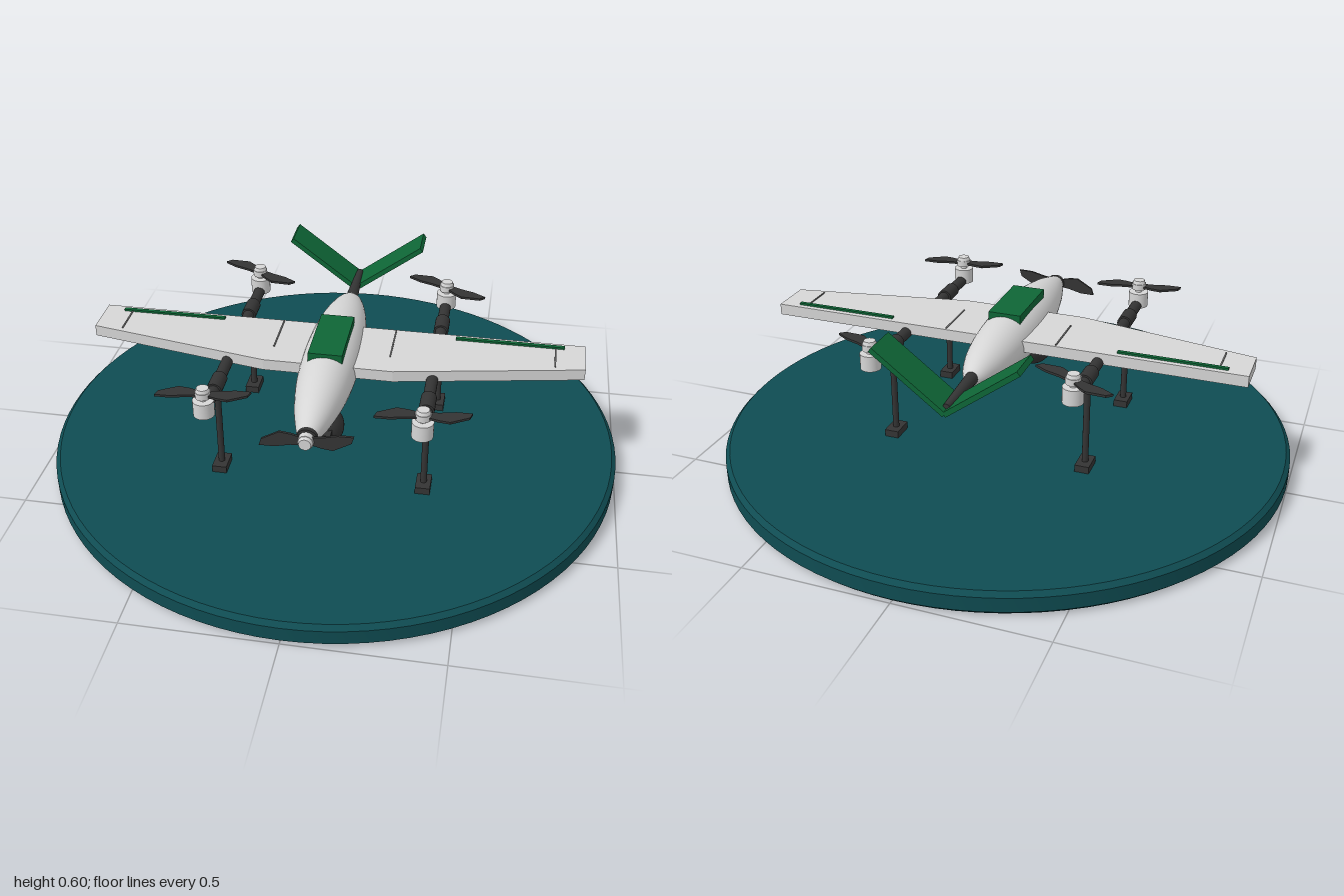
import * as THREE from 'three';
import { toCreasedNormals } from 'three/addons/utils/BufferGeometryUtils.js';

const mat = (name, color) => new THREE.MeshStandardMaterial({ name, color });
const V = (x, y) => new THREE.Vector2(x, y);

export function createModel() {
  const model = new THREE.Group();
  const shell = mat('shell grey', 0xd6d6d6);
  const dark = mat('carbon', 0x343434);
  const green = mat('green', 0x0e6636);
  const teal = mat('teal base', 0x0f4c52);
  const seam = mat('seam grey', 0x6e6e6e);
  const glass = mat('lens glass', 0x2a6478);

  const add = (name, geo, material, x = 0, y = 0, z = 0, parent = model) => {
    const m = new THREE.Mesh(geo, material);
    m.name = name;
    m.position.set(x, y, z);
    parent.add(m);
    return m;
  };
  const cyl = (rTop, rBottom, h, n = 20) => new THREE.CylinderGeometry(rTop, rBottom, h, n);
  const cylZ = (rFront, rBack, h, n = 20) => cyl(rFront, rBack, h, n).rotateX(Math.PI / 2);
  const box = (w, h, d) => new THREE.BoxGeometry(w, h, d);
  // Horizontal plate from [x, z] corners, rising from y = 0
  const plate = (pts, h) => new THREE.ExtrudeGeometry(
    new THREE.Shape(pts.map(([x, z]) => V(x, -z))), { depth: h, bevelEnabled: false }).rotateX(-Math.PI / 2);

  // Round display base with chamfered rims
  const rim = [V(0, 0), V(0.985, 0), V(1, 0.015), V(1, 0.065), V(0.985, 0.08), V(0, 0.08)];
  add('base', toCreasedNormals(new THREE.LatheGeometry(rim, 96), 0.4), teal);

  // Streamlined body along z
  const hull = new THREE.SplineCurve([
    V(0.018, -0.35), V(0.045, -0.31), V(0.072, -0.22), V(0.09, -0.1), V(0.098, 0.04), V(0.097, 0.16),
    V(0.088, 0.28), V(0.068, 0.4), V(0.048, 0.48), V(0.032, 0.53)]).getPoints(36);
  hull.unshift(V(0, -0.352));
  hull.push(V(0, 0.531));
  add('fuselage', new THREE.LatheGeometry(hull, 40).rotateX(Math.PI / 2), shell, 0, 0.418, 0);
  add('topHatch', box(0.115, 0.035, 0.255), green, 0, 0.507, 0.09);

  // Wing with swept leading edge
  add('wing', plate([[-0.85, -0.088], [-0.85, 0.06], [-0.22, 0.178], [0.22, 0.178], [0.85, 0.06], [0.85, -0.088]], 0.04),
    shell, 0, 0.416, 0);
  for (const s of [-1, 1]) {
    add('innerWingSeam', box(0.005, 0.004, 0.17), seam, s * 0.2, 0.457, 0.005);
    add('outerWingSeam', box(0.005, 0.004, 0.12), seam, s * 0.75, 0.457, 0);
    add('aileronStrip', box(0.37, 0.008, 0.014), green, s * 0.595, 0.459, -0.062);
  }

  // Tail boom and V tail
  add('tailBoom', cylZ(0.023, 0.012, 0.22), dark, 0, 0.422, -0.443);
  const tilt = 0.645;
  for (const s of [-1, 1]) {
    const fin = add('tailFin', box(0.305, 0.018, 0.125), green,
      s * 0.152 * Math.cos(tilt), 0.405 + 0.152 * Math.sin(tilt), -0.511);
    fin.rotation.z = s * tilt;
  }

  // Two-blade propeller with its hub, spinning about local y
  const blade = plate([[0.012, -0.015], [0.05, -0.019], [0.1, -0.031], [0.15, -0.032],
    [0.143, -0.008], [0.085, 0.026], [0.05, 0.022], [0.012, 0.012]], 0.008);
  const propeller = (name, turn) => {
    const g = new THREE.Group();
    g.name = name;
    for (const a of [0, Math.PI]) add('blade', blade, dark, 0, -0.004, 0, g).rotation.y = a;
    add('hub', cyl(0.026, 0.026, 0.022, 12), shell, 0, 0.001, 0, g);
    add('hubCap', cyl(0.02, 0.024, 0.012, 12), shell, 0, 0.018, 0, g);
    g.rotation.y = turn;
    model.add(g);
    return g;
  };

  // Side booms, lift motors and landing legs
  for (const s of [-1, 1]) {
    const x = s * 0.35;
    add('sideBoom', cylZ(0.02, 0.02, 0.83), dark, x, 0.42, 0.045);
    for (const z of [0.455, -0.365]) {
      add('liftMotor', cyl(0.035, 0.035, 0.055, 24), shell, x, 0.439, z);
      add('motorShaft', cyl(0.012, 0.012, 0.02, 12), shell, x, 0.473, z);
      propeller('liftPropeller', z > 0 ? 0 : -0.58).position.set(x, 0.488, z);
    }
    for (const z of [0.295, -0.2]) {
      add('legClamp', cylZ(0.026, 0.026, 0.08), dark, x, 0.42, z);
      add('leg', cyl(0.011, 0.011, 0.33, 14), dark, x, 0.255, z);
      add('foot', box(0.05, 0.025, 0.08), dark, x, 0.0925, z);
    }
  }

  // Nose motor and propeller
  add('noseMotor', cylZ(0.034, 0.034, 0.035, 24), dark, 0, 0.418, 0.522);
  const nose = propeller('nosePropeller', 0);
  nose.rotation.x = Math.PI / 2;
  nose.position.set(0, 0.418, 0.549);

  // Camera ball under the nose
  const camera = new THREE.Group();
  camera.name = 'camera';
  camera.position.set(0, 0.276, 0.267);
  model.add(camera);
  add('cameraMount', cyl(0.05, 0.045, 0.06, 24), dark, 0, 0.075, 0, camera);
  add('cameraBall', new THREE.SphereGeometry(0.073, 32, 20), dark, 0, 0, 0, camera);
  add('lensHousing', box(0.084, 0.046, 0.04), dark, 0, 0, 0.07, camera);
  for (const s of [-1, 1]) {
    add('lensRing', new THREE.TorusGeometry(0.016, 0.003, 8, 24), seam, s * 0.02, 0, 0.091, camera);
    add('lens', cylZ(0.015, 0.015, 0.008, 24), glass, s * 0.02, 0, 0.093, camera);
  }
  return model;
}
